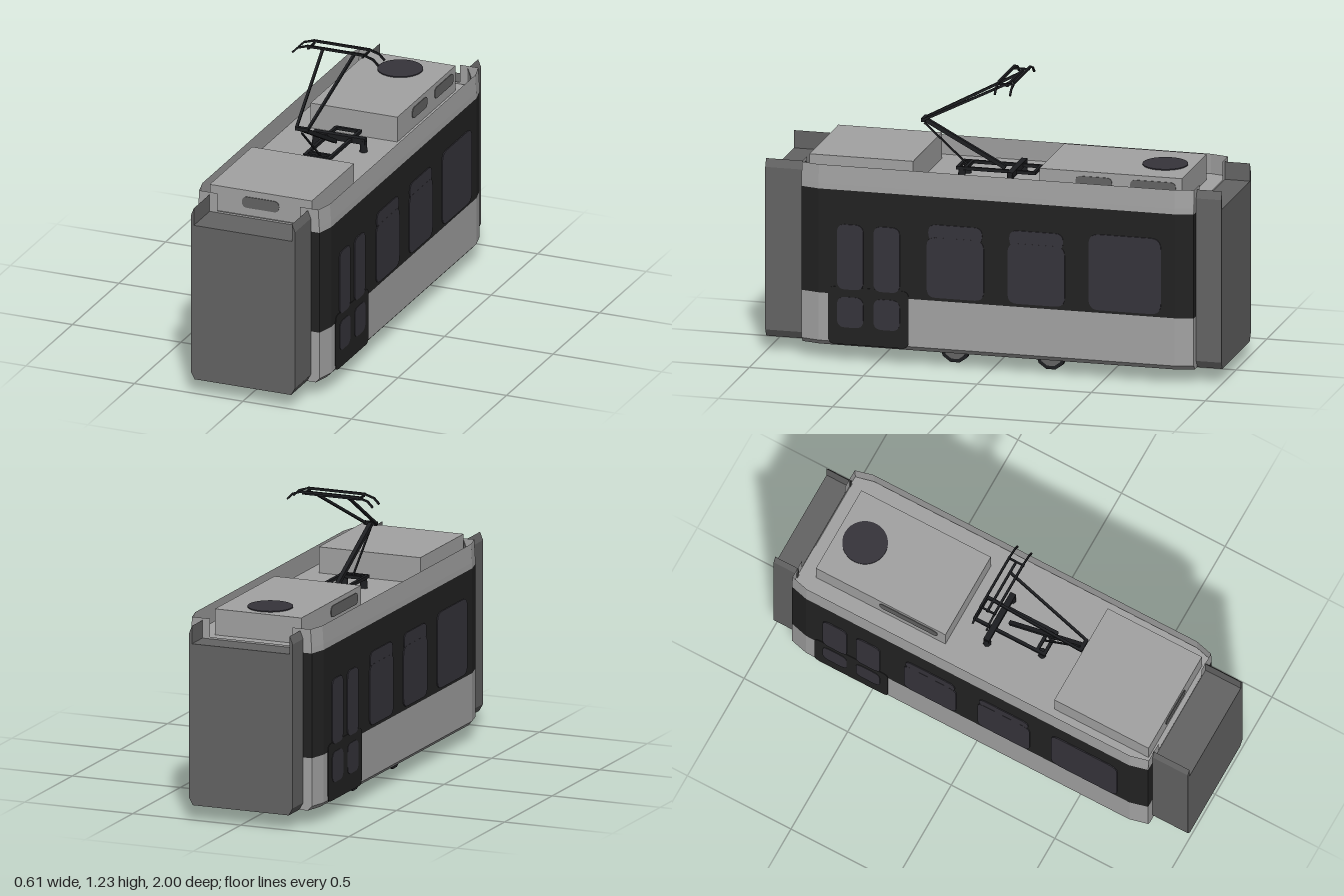
import * as THREE from 'three';

const mat = (name, color, double) => {
  const m = new THREE.MeshStandardMaterial({ color });
  m.name = name;
  if (double) m.side = THREE.DoubleSide;
  return m;
};

export function createModel() {
  const light = mat('lightGrey', 0xa3a3a3, true);
  const band = mat('blackBand', 0x222222, true);
  const glass = mat('tintedGlass', 0x36343b);
  const grey = mat('gangwayGrey', 0x646464);
  const metal = mat('pantographBlack', 0x1d1e21);
  const tram = new THREE.Group();
  tram.name = 'tramSection';

  const add = (name, geo, material, x = 0, y = 0, z = 0, parent = tram) => {
    const m = new THREE.Mesh(geo, material);
    m.name = name;
    m.position.set(x, y, z);
    parent.add(m);
    return m;
  };
  const box = (name, material, w, h, d, x, y, z, parent) =>
    add(name, new THREE.BoxGeometry(w, h, d), material, x, y, z, parent);

  // Half of the body outline in plan, from front to back; inset narrows the sides
  const outline = (inset, inner) => [
    [inner, 0.83], [0.28 - inset, 0.83], [0.3 - inset, 0.75],
    [0.3 - inset, -0.81], [0.28 - inset, -0.89], [inner, -0.89]];

  // Band of wall between two heights, on both sides of the body
  const wall = (name, material, y0, inset0, y1, inset1, inner = 0) => {
    const a = outline(inset0, inner), b = outline(inset1, inner), pos = [];
    for (const s of [1, -1]) {
      for (let i = 0; i < a.length - 1; i++) {
        const p = [s * a[i][0], y0, a[i][1]], q = [s * a[i + 1][0], y0, a[i + 1][1]];
        const r = [s * b[i + 1][0], y1, b[i + 1][1]], t = [s * b[i][0], y1, b[i][1]];
        if (s > 0) pos.push(...p, ...q, ...r, ...p, ...r, ...t);
        else pos.push(...p, ...r, ...q, ...p, ...t, ...r);
      }
    }
    const g = new THREE.BufferGeometry();
    g.setAttribute('position', new THREE.Float32BufferAttribute(pos, 3));
    g.computeVertexNormals();
    add(name, g, material);
  };
  wall('bottomEdge', light, 0.068, 0.018, 0.088, 0);
  wall('lowerWall', light, 0.088, 0, 0.298, 0);
  wall('windowBand', band, 0.298, 0, 0.755, 0);
  wall('upperWall', light, 0.755, 0, 0.78, 0.001);
  wall('roofParapet', light, 0.78, 0.001, 0.86, 0.006, 0.19);

  // Recessed roof deck
  const half = outline(0.003, 0);
  const deck = new THREE.Shape([...half, ...half.slice().reverse().map(([x, z]) => [-x, z])]
    .map(([x, z]) => new THREE.Vector2(x, -z)));
  add('roofDeck', new THREE.ShapeGeometry(deck).rotateX(-Math.PI / 2), light, 0, 0.772, 0);

  // Rounded plate standing in the side wall, showing on both faces
  const plate = (w, h, r, t) => {
    const x = w / 2, y = h / 2, s = new THREE.Shape();
    s.moveTo(-x + r, -y).lineTo(x - r, -y).quadraticCurveTo(x, -y, x, -y + r)
      .lineTo(x, y - r).quadraticCurveTo(x, y, x - r, y)
      .lineTo(-x + r, y).quadraticCurveTo(-x, y, -x, y - r)
      .lineTo(-x, -y + r).quadraticCurveTo(-x, -y, -x + r, -y);
    return new THREE.ExtrudeGeometry(s, { depth: t, bevelEnabled: false, curveSegments: 5 })
      .translate(0, 0, -t / 2).rotateY(Math.PI / 2);
  };
  // Door and windows; the second side is the first turned half round
  for (const side of [1, -1]) {
    const g = new THREE.Group();
    g.name = side > 0 ? 'leftSideGlazing' : 'rightSideGlazing';
    g.position.z = -0.03;
    if (side < 0) g.rotation.y = Math.PI;
    tram.add(g);
    const pane = (name, material, z0, z1, y0, y1, r, t) =>
      add(name, plate(z1 - z0, y1 - y0, r, t), material, 0.3, (y0 + y1) / 2, (z0 + z1) / 2 + 0.03, g);
    pane('doorPanel', band, 0.355, 0.708, 0.078, 0.33, 0.03, 0.005);
    for (const z of [0.393, 0.553]) {
      pane('doorUpperWindow', glass, z, z + 0.115, 0.32, 0.606, 0.035, 0.009);
      pane('doorLowerWindow', glass, z, z + 0.115, 0.153, 0.287, 0.035, 0.009);
    }
    for (const z of [0.025, -0.33]) {
      pane('windowMain', glass, z, z + 0.25, 0.312, 0.577, 0.04, 0.009);
      pane('windowTop', glass, z + 0.007, z + 0.243, 0.56, 0.633, 0.034, 0.008);
    }
    pane('largeWindow', glass, -0.752, -0.435, 0.31, 0.643, 0.045, 0.009);
  }

  // Gangway at each end, with upright lips beside its lowered top
  const right = [[0.222, 0.068], [0.24, 0.1], [0.24, 0.815], [0.226, 0.85], [0.226, 0.772]];
  const section = new THREE.Shape([...right, ...right.slice().reverse().map(([x, y]) => [-x, y])]
    .map(([x, y]) => new THREE.Vector2(x, y)));
  for (const [name, z, depth] of [['frontGangway', 0.825, 0.175], ['rearGangway', -1, 0.115]])
    add(name, new THREE.ExtrudeGeometry(section, { depth, bevelEnabled: false }), grey, 0, 0, z);

  // Roof equipment boxes with grilles and a fan
  box('frontRoofBox', light, 0.47, 0.115, 0.455, 0, 0.828, 0.58);
  box('rearRoofBox', light, 0.4, 0.115, 0.625, 0, 0.828, -0.505);
  add('frontGrille', plate(0.17, 0.05, 0.024, 0.006).rotateY(-Math.PI / 2), grey, 0, 0.832, 0.808);
  for (const [x, z, w] of [[0.2, -0.43, 0.16], [0.2, -0.69, 0.2], [-0.2, -0.37, 0.28]])
    add('sideGrille', plate(w, 0.05, 0.024, 0.006), grey, x, 0.84, z);
  add('roofFan', new THREE.CylinderGeometry(0.097, 0.097, 0.006, 32), glass, 0, 0.887, -0.69);

  // Wheels
  for (const x of [-0.181, 0.181]) for (const z of [0.18, -0.24]) {
    const disc = (name, r, w, m) =>
      add(name, new THREE.CylinderGeometry(r, r, w, 10).rotateZ(Math.PI / 2), m, x, 0.066, z);
    disc('wheelRim', 0.066, 0.025, metal);
    disc('wheelFace', 0.05, 0.029, grey);
    disc('wheelHub', 0.02, 0.033, light);
  }

  // Pantograph
  const panto = new THREE.Group();
  panto.name = 'pantograph';
  tram.add(panto);
  const bar = (name, a, b, t = 0.012) => {
    const p = new THREE.Vector3(...a), q = new THREE.Vector3(...b);
    const m = add(name, new THREE.BoxGeometry(t, t, p.distanceTo(q)), metal, 0, 0, 0, panto);
    m.position.copy(p).add(q).multiplyScalar(0.5);
    m.lookAt(q);
  };
  const base = 0.82;
  for (const z of [-0.13, 0.17, 0.205]) bar('baseCrossbar', [-0.06, base, z], [0.06, base, z], 0.014);
  bar('baseBeam', [-0.12, base, -0.04], [0.12, base, -0.04], 0.026);
  bar('lowerArm', [0, base, 0.01], [0, 1.008, 0.365], 0.018);
  bar('controlRod', [0, base, 0.175], [0, 0.992, 0.367], 0.007);
  bar('elbow', [-0.03, 1.01, 0.365], [0.03, 1.01, 0.365], 0.016);
  bar('headCrossbar', [-0.13, 1.217, -0.03], [0.13, 1.217, -0.03], 0.01);
  for (const s of [1, -1]) {
    bar('baseRail', [s * 0.055, base, -0.13], [s * 0.055, base, 0.21], 0.014);
    bar('upperArm', [s * 0.026, 1.01, 0.365], [s * 0.073, 1.217, -0.03], 0.011);
    bar('headLink', [s * 0.125, 1.223, 0.01], [s * 0.125, 1.223, -0.062], 0.008);
    add('insulator', new THREE.CylinderGeometry(0.014, 0.018, 0.05, 8), metal, s * 0.11, 0.796, -0.04, panto);
    add('insulator', new THREE.CylinderGeometry(0.014, 0.018, 0.05, 8), metal, s * 0.045, 0.796, 0.19, panto);
    for (const z of [0.005, -0.062]) {
      bar('horn', [s * 0.13, 1.232, z], [s * 0.175, 1.218, z], 0.008);
      bar('hornTip', [s * 0.173, 1.219, z], [s * 0.198, 1.194, z], 0.008);
    }
  }
  for (const z of [0.005, -0.062]) bar('contactStrip', [-0.132, 1.232, z], [0.132, 1.232, z], 0.01);
  return tram;
}
